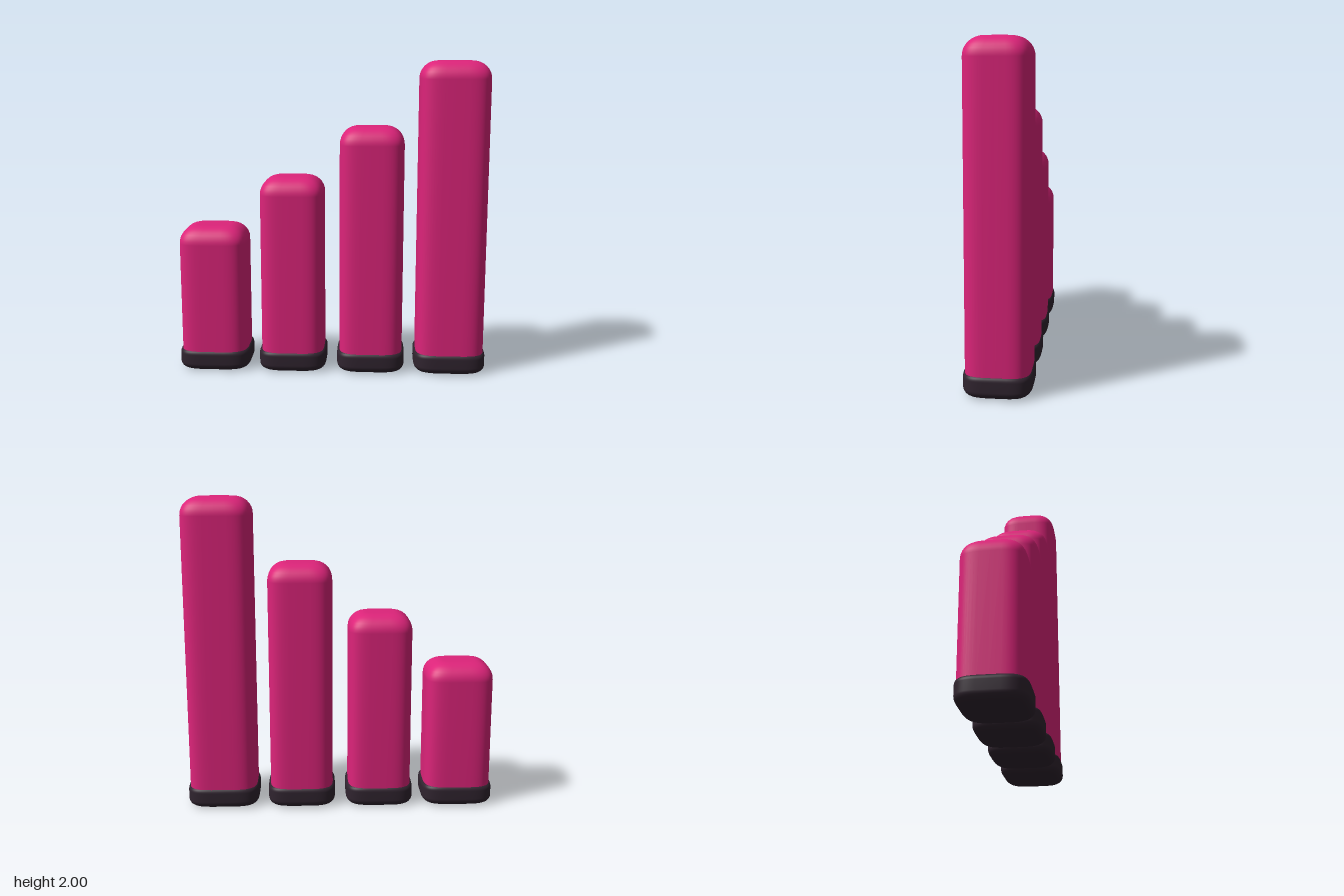
import * as THREE from 'three';

const SEGMENTS = 64;
const EXPONENT = 4.2; // softly squared outline

// Closed loft of soft rectangles; rings run bottom to top as [inset, y]
function softBlock(halfX, halfZ, rings) {
  const positions = [], index = [];
  const soften = (v) => Math.sign(v) * Math.pow(Math.abs(v), 2 / EXPONENT);
  for (const [inset, y] of rings) {
    for (let i = 0; i < SEGMENTS; i++) {
      const a = (i / SEGMENTS) * Math.PI * 2;
      positions.push((halfX - inset) * soften(Math.cos(a)), y, (halfZ - inset) * soften(Math.sin(a)));
    }
  }
  for (let r = 0; r < rings.length - 1; r++) {
    for (let i = 0; i < SEGMENTS; i++) {
      const j = (i + 1) % SEGMENTS;
      const a = r * SEGMENTS + i, b = r * SEGMENTS + j;
      const c = a + SEGMENTS, d = b + SEGMENTS;
      index.push(a, c, b, b, c, d);
    }
  }
  // Caps
  const last = (rings.length - 1) * SEGMENTS;
  const bottom = positions.length / 3, top = bottom + 1;
  positions.push(0, rings[0][1], 0, 0, rings[rings.length - 1][1], 0);
  for (let i = 0; i < SEGMENTS; i++) {
    const j = (i + 1) % SEGMENTS;
    index.push(bottom, i, j, top, last + j, last + i);
  }
  const geometry = new THREE.BufferGeometry();
  geometry.setAttribute('position', new THREE.Float32BufferAttribute(positions, 3));
  geometry.setIndex(index);
  geometry.computeVertexNormals();
  return geometry;
}

// Rounded edge rings for the underside or the top of a block
function edgeRings(y, inset, rise, isTop) {
  const rings = [], steps = 8;
  for (let i = 0; i <= steps; i++) {
    const t = (i / steps) * Math.PI / 2;
    rings.push(isTop
      ? [inset * (1 - Math.cos(t)), y - rise * (1 - Math.sin(t))]
      : [inset * (1 - Math.sin(t)), y + rise * (1 - Math.cos(t))]);
  }
  return rings;
}

export function createModel() {
  const model = new THREE.Group();
  model.name = 'risingBars';
  const pink = new THREE.MeshStandardMaterial({ color: 0xdd247a });
  pink.name = 'pink';
  const dark = new THREE.MeshStandardMaterial({ color: 0x30242f });
  dark.name = 'dark plum';

  // Centre x, bar half width, base half width, top height
  const columns = [
    [-0.768, 0.218, 0.232, 0.95],
    [-0.255, 0.205, 0.22, 1.27],
    [0.255, 0.205, 0.22, 1.59],
    [0.768, 0.22, 0.232, 2.0],
  ];
  columns.forEach(([x, barHalf, baseHalf, height], i) => {
    const column = new THREE.Group();
    column.name = `column${i + 1}`;
    column.position.x = x;

    const bar = new THREE.Mesh(softBlock(barHalf, 0.19,
      [[0, 0.09], [0, 0.12], ...edgeRings(height, 0.115, 0.11, true)]), pink);
    bar.name = 'bar';

    const base = new THREE.Mesh(softBlock(baseHalf, 0.2,
      [...edgeRings(0, 0.06, 0.05, false), ...edgeRings(0.137, 0.025, 0.03, true)]), dark);
    base.name = 'base';

    column.add(bar, base);
    model.add(column);
  });
  return model;
}
